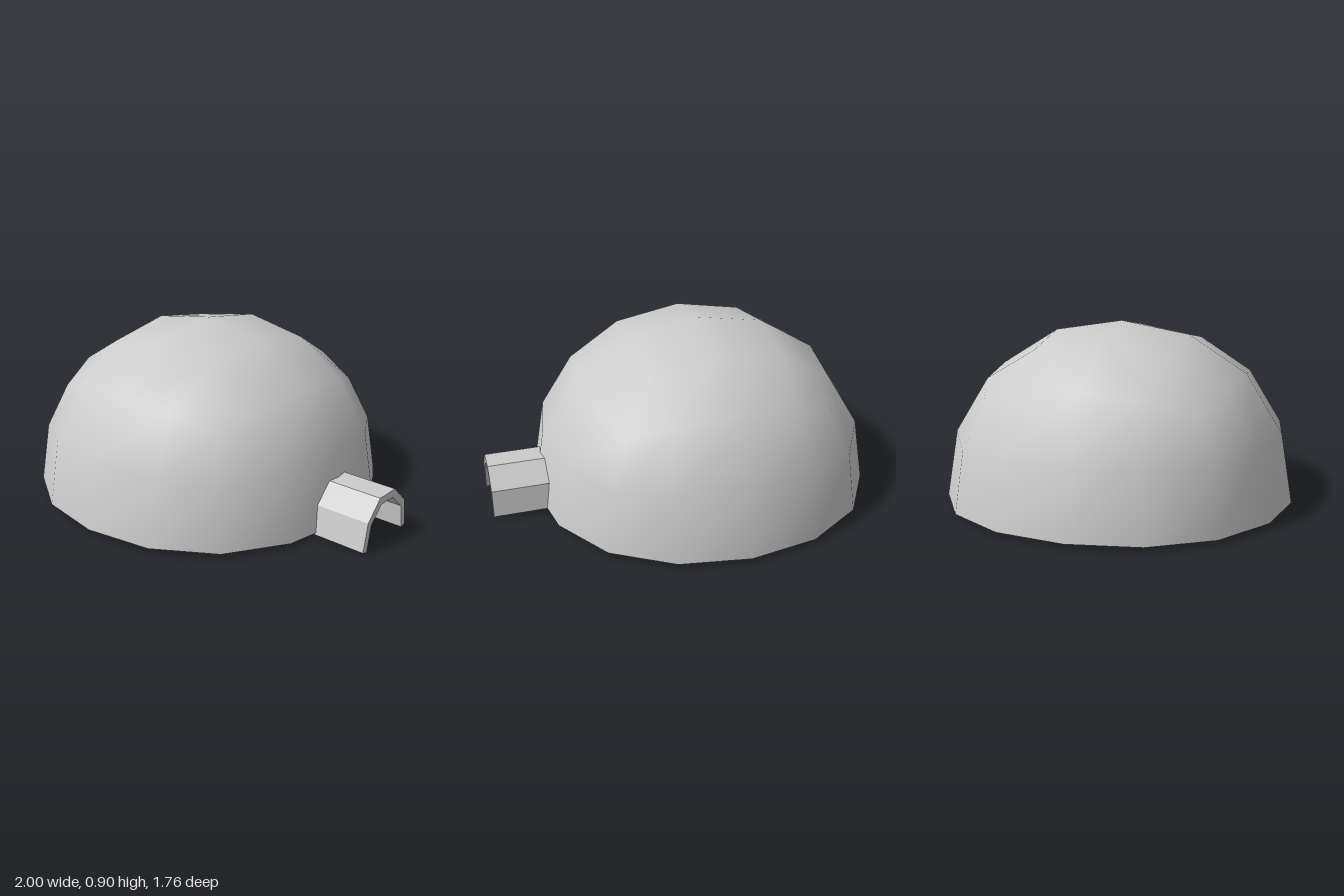
import * as THREE from 'three';
import { mergeVertices } from 'three/addons/utils/BufferGeometryUtils.js';

const shellGrey = new THREE.MeshStandardMaterial({ color: 0xcccccc, side: THREE.DoubleSide });
shellGrey.name = 'shellGrey';

// Half of a subdivided cube, rounded to a dome, open underneath
function domeGeometry(radius) {
  const box = new THREE.BoxGeometry(2, 1, 2, 4, 2, 4).translate(0, 0.5, 0);
  const floor = box.groups[3];
  const index = Array.from(box.index.array);
  index.splice(floor.start, floor.count);
  box.setIndex(index);
  box.clearGroups();
  box.deleteAttribute('normal');
  box.deleteAttribute('uv');

  // Even out the grid spacing on each cube face
  const warp = (t, p, q) => {
    const s = Math.min(Math.abs(p), Math.abs(q));
    return t - 0.308 * t * (1 - Math.abs(t)) * (1 - s * s);
  };
  const pos = box.attributes.position;
  const v = new THREE.Vector3();
  for (let i = 0; i < pos.count; i++) {
    const [x, y, z] = [pos.getX(i), pos.getY(i), pos.getZ(i)];
    v.set(warp(x, y, z), warp(y, x, z), warp(z, x, y)).normalize();
    // Slight bulge toward the cube's edges and corners
    const bulge = 0.05 * (1 - v.x ** 4 - v.y ** 4 - v.z ** 4);
    v.multiplyScalar(radius + bulge);
    pos.setXYZ(i, v.x, v.y, v.z);
  }
  const dome = mergeVertices(box, 1e-4);
  dome.computeVertexNormals();
  return dome;
}

// Faceted arch section swept along x
function tunnelGeometry(length) {
  const outline = [
    [0.187, 0.01], [0.155, 0.152], [0.062, 0.248], [-0.066, 0.25], [-0.163, 0.157], [-0.18, 0.02],
    [-0.146, 0.015], [-0.131, 0.136], [-0.049, 0.211], [0.047, 0.211], [0.127, 0.132], [0.155, 0],
  ];
  const shape = new THREE.Shape(outline.map(([z, y]) => new THREE.Vector2(-z, y)));
  return new THREE.ExtrudeGeometry(shape, { depth: length, bevelEnabled: false })
    .rotateY(Math.PI / 2);
}

export function createModel() {
  const model = new THREE.Group();
  model.name = 'domeShelter';

  const dome = new THREE.Mesh(domeGeometry(0.88), shellGrey);
  dome.name = 'dome';
  dome.position.set(-0.12, 0.02, 0);
  model.add(dome);

  const tunnel = new THREE.Mesh(tunnelGeometry(0.36), shellGrey);
  tunnel.name = 'entranceTunnel';
  tunnel.position.x = 0.64;
  model.add(tunnel);

  return model;
}
